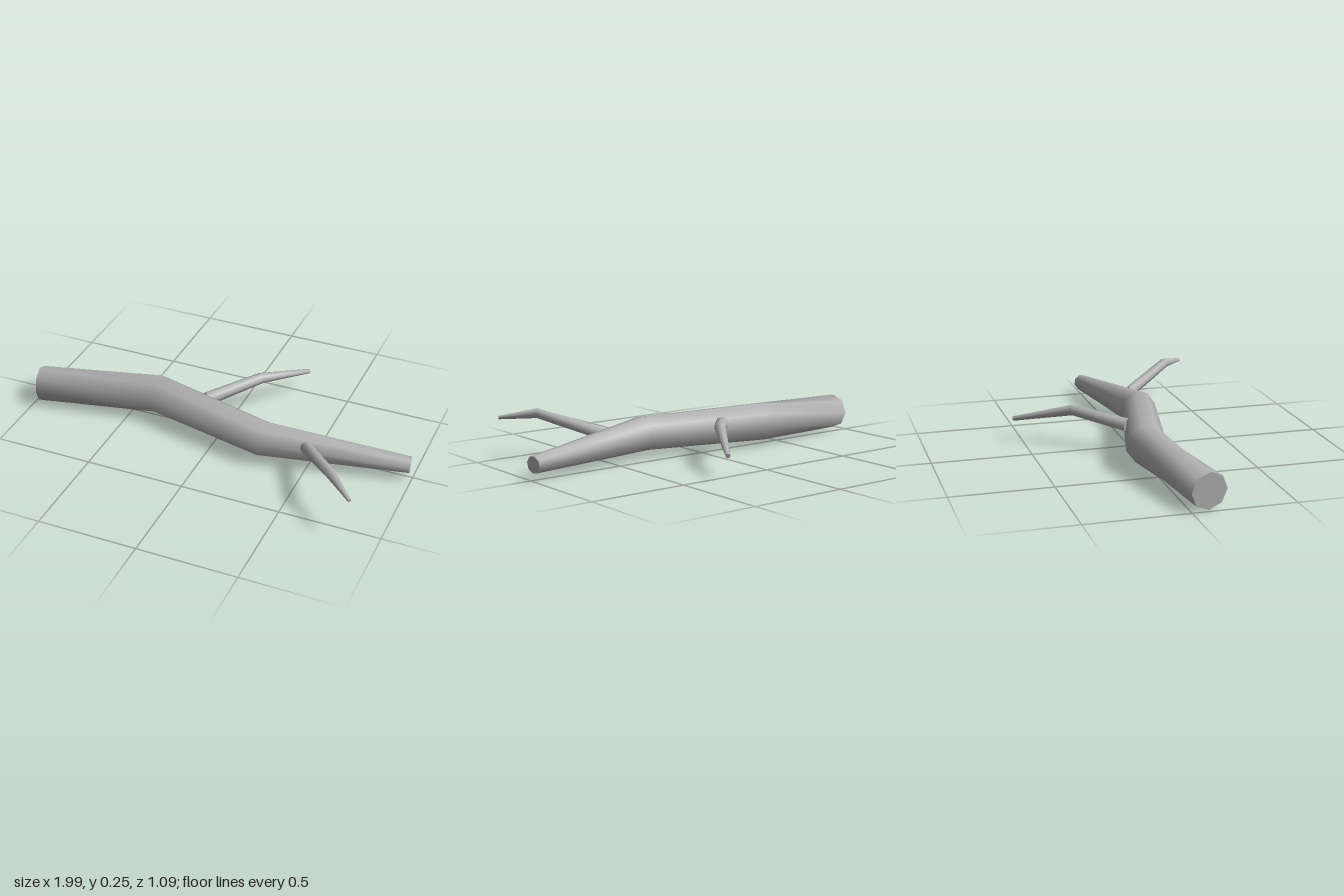
import * as THREE from 'three';

// Tapered limb through rings [x, y, z, radius, phase in degrees], with closed ends
function limb(name, rings, sides, material) {
  const centres = rings.map(([x, y, z]) => new THREE.Vector3(x, y, z));
  const up = new THREE.Vector3(0, 1, 0);
  const last = rings.length - 1;
  const positions = [];
  const index = [];

  // Cross-sections, mitred at each bend
  const loops = rings.map(([, , , radius, phase = 0], i) => {
    const t = new THREE.Vector3();
    if (i > 0) t.add(centres[i].clone().sub(centres[i - 1]).normalize());
    if (i < last) t.add(centres[i + 1].clone().sub(centres[i]).normalize());
    t.normalize();
    const u = t.clone().cross(up).normalize();
    const v = u.clone().cross(t);
    return Array.from({ length: sides }, (_, k) => {
      const a = THREE.MathUtils.degToRad(phase) + (k / sides) * Math.PI * 2;
      return centres[i].clone()
        .addScaledVector(u, radius * Math.cos(a))
        .addScaledVector(v, radius * Math.sin(a));
    });
  });

  // Bark
  loops.forEach((loop) => loop.forEach((p) => positions.push(p.x, p.y, p.z)));
  for (let i = 0; i < last; i++) {
    for (let k = 0; k < sides; k++) {
      const a = i * sides + k;
      const b = i * sides + (k + 1) % sides;
      index.push(a, a + sides, b, b, a + sides, b + sides);
    }
  }

  // Cut ends, with their own vertices so the rim stays sharp
  [0, last].forEach((i) => {
    const start = positions.length / 3;
    loops[i].forEach((p) => positions.push(p.x, p.y, p.z));
    for (let k = 1; k < sides - 1; k++) {
      if (i === 0) index.push(start, start + k, start + k + 1);
      else index.push(start, start + k + 1, start + k);
    }
  });

  const geometry = new THREE.BufferGeometry();
  geometry.setAttribute('position', new THREE.Float32BufferAttribute(positions, 3));
  geometry.setIndex(index);
  geometry.computeVertexNormals();
  const mesh = new THREE.Mesh(geometry, material);
  mesh.name = name;
  return mesh;
}

export function createModel() {
  const model = new THREE.Group();
  model.name = 'fallenBranch';
  const bark = new THREE.MeshStandardMaterial({ color: 0xb0b0b0 });
  bark.name = 'greyBark';

  model.add(
    // Main limb, twisted towards its thick end
    limb('mainLimb', [
      [-0.985, 0.09, 0.085, 0.09, 45],
      [-0.36, 0.12, -0.02, 0.1, 15],
      [0.27, 0.112, 0.128, 0.09, 12],
      [0.985, 0.073, 0, 0.043, 12],
    ], 8, bark),
    // Side shoots
    limb('backTwig', [
      [-0.1, 0.143, -0.04, 0.035],
      [0.1, 0.182, -0.27, 0.028],
      [0.27, 0.11, -0.537, 0.012],
    ], 8, bark),
    limb('frontTwig', [
      [0.5, 0.135, 0.145, 0.03],
      [0.71, 0.225, 0.405, 0.025],
      [0.85, 0.2, 0.535, 0.009],
    ], 8, bark),
  );
  return model;
}
